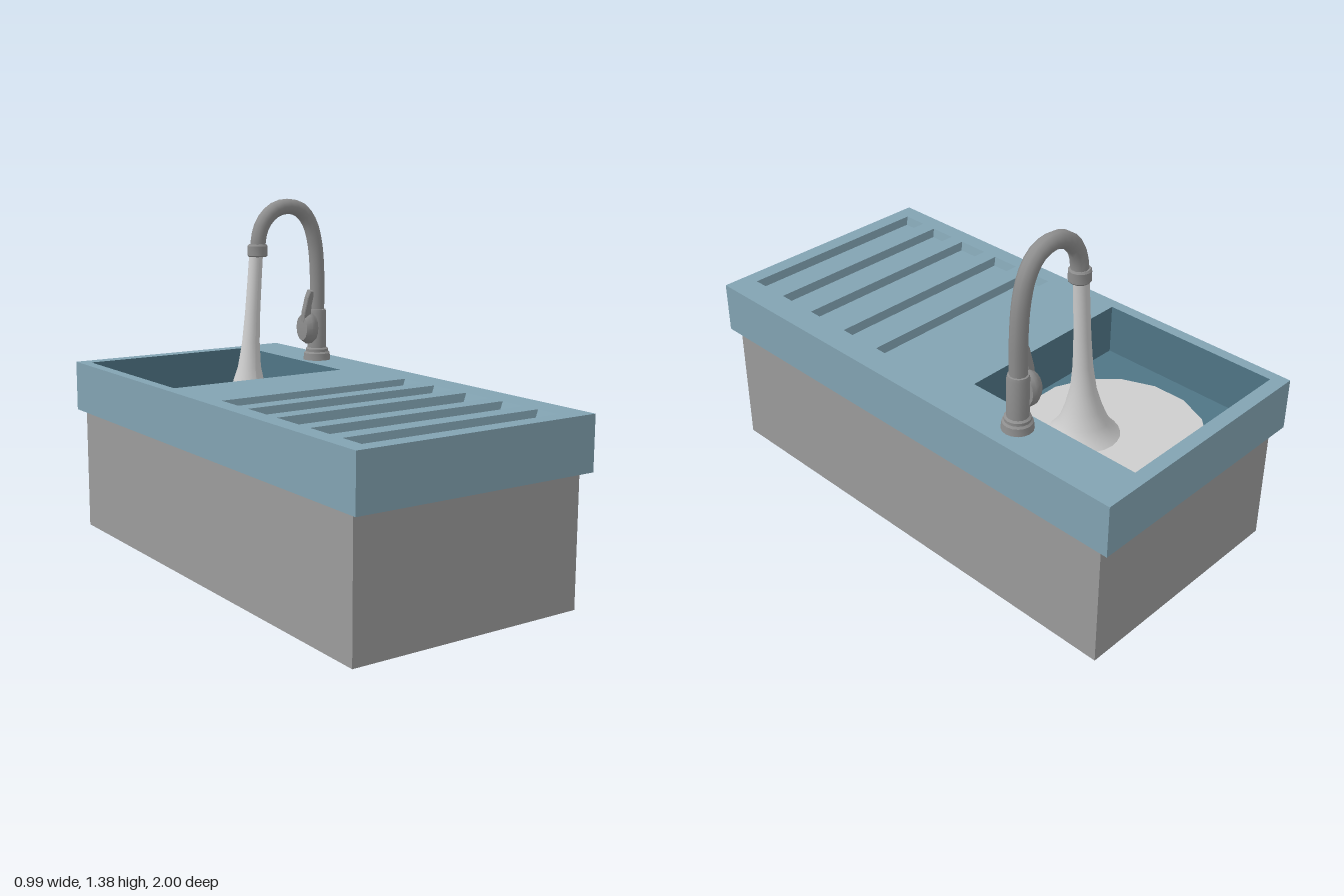
import * as THREE from 'three';
import { toCreasedNormals } from 'three/addons/utils/BufferGeometryUtils.js';

const mat = (name, color, side = THREE.FrontSide) => {
  const m = new THREE.MeshStandardMaterial({ color, side });
  m.name = name;
  return m;
};

// Rectangles are [x0, x1, z0, z1]
const corners = ([x0, x1, z0, z1]) => [[x0, z0], [x1, z0], [x1, z1], [x0, z1]];

// Four walls and a floor, facing inward (a recess) or outward (a shell)
function tray(top, yTop, bottom, yBottom, outward = false) {
  const t = corners(top).map(([x, z]) => [x, yTop, z]);
  const b = corners(bottom).map(([x, z]) => [x, yBottom, z]);
  const quads = [[b[0], b[3], b[2], b[1]]];
  for (let i = 0; i < 4; i++) {
    const j = (i + 1) % 4;
    quads.push([t[i], b[i], b[j], t[j]]);
  }
  const pos = [];
  for (const q of quads) {
    const [a, c, d, e] = outward ? [...q].reverse() : q;
    pos.push(...a, ...c, ...d, ...a, ...d, ...e);
  }
  const g = new THREE.BufferGeometry();
  g.setAttribute('position', new THREE.Float32BufferAttribute(pos, 3));
  g.computeVertexNormals();
  return g;
}

const lathe = (pts, sides) => toCreasedNormals(
  new THREE.LatheGeometry(pts.map(([r, y]) => new THREE.Vector2(r, y)), sides), 0.6);

export function createModel() {
  const model = new THREE.Group();
  model.name = 'sinkUnit';
  const counterBlue = mat('counter blue', 0x82a3b2);
  const basinBlue = mat('basin blue', 0x4f7585);
  const cabinetGrey = mat('cabinet grey', 0x9b9b9b);
  const metal = mat('tap metal', 0x8e8e8e);
  const water = mat('water', 0xcdcdcd, THREE.DoubleSide);

  const add = (name, geometry, material, x = 0, y = 0, z = 0, parent = model) => {
    const m = new THREE.Mesh(geometry, material);
    m.name = name;
    m.position.set(x, y, z);
    parent.add(m);
    return m;
  };

  // Cabinet under the counter
  add('cabinet', new THREE.BoxGeometry(0.95, 0.495, 1.915), cabinetGrey, 0, 0.2475, 0);

  // Counter: outer shell, pierced top, basin and drainer grooves
  const TOP = 0.7;
  const outer = [-0.497, 0.497, -1, 1];
  const basin = [-0.453, 0.305, -0.945, -0.215];
  const grooves = [[0.1, 0.212], [0.278, 0.397], [0.462, 0.593], [0.658, 0.768], [0.836, 0.937]]
    .map(([z0, z1]) => [-0.43, 0.39, z0, z1]);
  add('counterShell', tray(outer, TOP, outer, 0.497, true), counterBlue);

  const toPoints = (r) => corners(r).map(([x, z]) => new THREE.Vector2(x, -z));
  const shape = new THREE.Shape(toPoints(outer));
  for (const r of [basin, ...grooves]) shape.holes.push(new THREE.Path(toPoints(r)));
  add('counterTop', new THREE.ShapeGeometry(shape).rotateX(-Math.PI / 2), counterBlue, 0, TOP, 0);

  add('basin', tray(basin, TOP, basin, 0.5), basinBlue);
  for (const r of grooves) {
    const floor = [r[0] + 0.01, r[1] - 0.017, r[2] + 0.005, r[3] - 0.005];
    add('drainerGroove', tray(r, TOP, floor, TOP - 0.035), counterBlue);
  }

  // Water pool and falling stream, leaning as it drops
  add('waterPool', new THREE.CircleGeometry(0.342, 16).rotateZ(Math.PI / 16).rotateX(-Math.PI / 2),
    water, -0.037, 0.504, -0.574);
  const stream = new THREE.LatheGeometry([
    [0.13, 0.505], [0.108, 0.53], [0.088, 0.565], [0.068, 0.62], [0.047, 0.7],
    [0.036, 0.8], [0.031, 0.92], [0.029, 1.05], [0.028, 1.16],
  ].map(([r, y]) => new THREE.Vector2(r, y)), 24);
  const sp = stream.attributes.position;
  for (let i = 0; i < sp.count; i++) sp.setX(i, sp.getX(i) + 0.037 + (sp.getY(i) - 0.5) * 0.078);
  stream.computeVertexNormals();
  add('waterStream', stream, water, 0, 0, -0.506);

  // Tap
  const tap = new THREE.Group();
  tap.name = 'tap';
  tap.position.z = -0.504;
  model.add(tap);

  // Foot and column in one turned profile
  add('tapColumn', lathe([
    [0.058, 0.7], [0.055, 0.728], [0.048, 0.735], [0.048, 0.746], [0.04, 0.752],
    [0.04, 0.9], [0.037, 0.913], [0.03, 0.915],
  ], 16), metal, 0.387, 0, 0, tap);

  // Swan neck pipe
  const path = new THREE.CatmullRomCurve3([
    [0.387, 0.9], [0.387, 1.07], [0.376, 1.19], [0.35, 1.275], [0.305, 1.329],
    [0.24, 1.347], [0.175, 1.332], [0.122, 1.283], [0.1, 1.225], [0.095, 1.17],
  ].map(([x, y]) => new THREE.Vector3(x, y, 0)));
  add('tapNeck', new THREE.TubeGeometry(path, 24, 0.032, 10), metal, 0, 0, 0, tap);

  // Collar at the outlet
  add('outletCollar', lathe([
    [0, 1.147], [0.037, 1.147], [0.041, 1.152], [0.041, 1.19], [0.036, 1.197], [0, 1.197],
  ], 12), metal, 0.094, 0, 0, tap);

  // Oval handle hub on the side of the column, with its lever
  const hub = lathe([[0, -0.01], [0.046, -0.01], [0.052, 0.004], [0.052, 0.02], [0.04, 0.043], [0, 0.047]], 16)
    .rotateZ(Math.PI / 2).scale(1, 1.32, 1);
  add('handleHub', hub, metal, 0.353, 0.838, 0, tap);

  const lever = new THREE.Shape([
    [-0.014, -0.06], [-0.016, 0.01], [-0.008, 0.075], [0, 0.1], [0.012, 0.1],
    [0.014, 0.08], [0.01, 0.04], [0.014, -0.06],
  ].map(([x, y]) => new THREE.Vector2(x, y)).reverse());
  const leverMesh = add('handleLever', new THREE.ExtrudeGeometry(lever, {
    depth: 0.022, bevelEnabled: true, bevelThickness: 0.003, bevelSize: 0.003, bevelSegments: 1,
  }).translate(0, 0, -0.011), metal, 0.326, 0.897, 0.012, tap);
  leverMesh.rotation.x = 0.2;

  return model;
}
